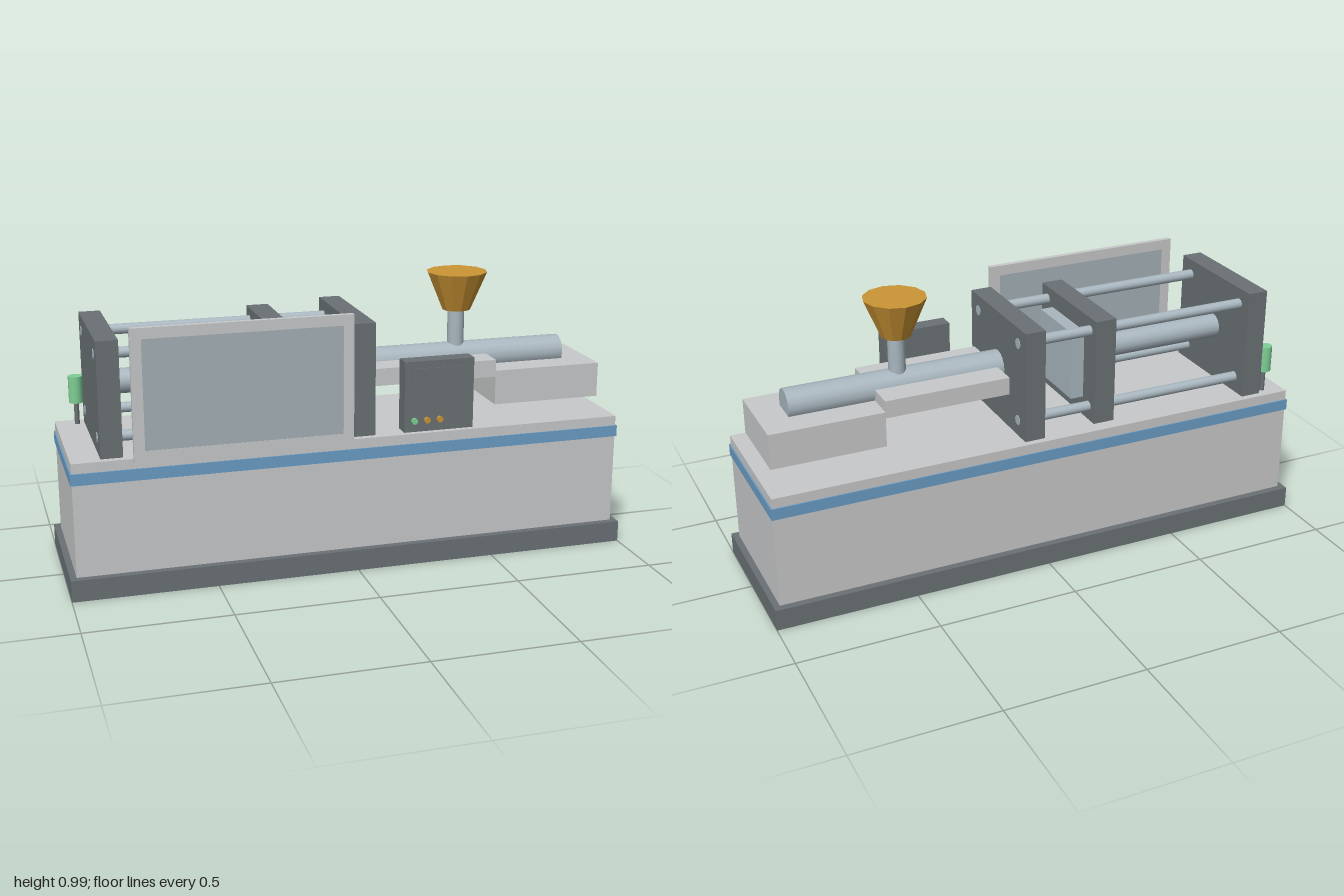
import * as THREE from 'three';

const mat = (name, color) => {
  const m = new THREE.MeshStandardMaterial({ color });
  m.name = name;
  return m;
};

export function createModel() {
  const light = mat('light grey paint', 0xc8c9ca);
  const dark = mat('dark grey paint', 0x6a7175);
  const blue = mat('blue stripe', 0x6a9cc4);
  const steel = mat('steel', 0xa9b7c0);
  const glass = mat('window glass', 0xa4b0b7);
  const orange = mat('orange', 0xcb9535);
  const green = mat('green', 0x7fd095);

  const model = new THREE.Group();
  model.name = 'injectionMouldingMachine';
  const CZ = -0.0225; // centre line of the machine in z
  const CY = 0.677; // height of the clamp and barrel axis

  // Box given by its lower and upper limits on each axis
  const box = (name, m, [x0, x1], [y0, y1], [z0, z1]) => {
    const mesh = new THREE.Mesh(new THREE.BoxGeometry(x1 - x0, y1 - y0, z1 - z0), m);
    mesh.position.set((x0 + x1) / 2, (y0 + y1) / 2, (z0 + z1) / 2);
    mesh.name = name;
    model.add(mesh);
    return mesh;
  };
  const around = (half) => [CZ - half, CZ + half];

  // Round bar lying along x
  const barX = (name, m, r, x0, x1, y, z) => {
    const mesh = new THREE.Mesh(new THREE.CylinderGeometry(r, r, x1 - x0, 16), m);
    mesh.rotation.z = -Math.PI / 2;
    mesh.position.set((x0 + x1) / 2, y, z);
    mesh.name = name;
    model.add(mesh);
  };

  // Upright round part
  const post = (name, m, rTop, rBottom, y0, y1, x, z, sides = 16) => {
    const mesh = new THREE.Mesh(new THREE.CylinderGeometry(rTop, rBottom, y1 - y0, sides), m);
    mesh.position.set(x, (y0 + y1) / 2, z);
    mesh.name = name;
    model.add(mesh);
    return mesh;
  };

  // Machine bed
  box('basePlinth', dark, [-1, 1], [0, 0.076], around(0.276));
  box('bedBody', light, [-0.978, 0.978], [0.076, 0.476], around(0.25));
  box('bedStripe', blue, [-0.983, 0.983], [0.401, 0.441], around(0.255));

  // Clamp unit: platens, tie bars, ram and mould
  box('rearPlaten', dark, [-0.877, -0.802], [0.476, 0.876], around(0.226));
  box('movingPlaten', dark, [-0.278, -0.2], [0.482, 0.866], around(0.21));
  box('fixedPlaten', dark, [-0.002, 0.073], [0.476, 0.876], around(0.226));
  for (const sy of [-1, 1]) {
    for (const sz of [-1, 1]) {
      barX('tieBar', steel, 0.0185, -0.879, 0.075, CY + sy * 0.143, CZ + sz * 0.166);
    }
  }
  barX('clampRam', steel, 0.044, -0.81, -0.27, CY, CZ - 0.004);
  box('mouldHalf', steel, [-0.2, -0.152], [0.552, 0.802], around(0.124));

  // Injection unit: carriage, barrel and hopper
  box('carriageSlide', light, [0.097, 0.547], [0.63, 0.692], around(0.15));
  box('carriageHousing', light, [0.547, 0.947], [0.527, 0.652], around(0.15));
  barX('barrel', steel, 0.055, 0.07, 0.847, CY, CZ);
  post('hopperNeck', steel, 0.03, 0.03, 0.7, 0.855, 0.447, CZ);
  const hopper = post('hopper', orange, 0.109, 0.051, 0.853, 0.991, 0.447, CZ, 12);
  hopper.geometry = hopper.geometry.toNonIndexed();
  hopper.geometry.computeVertexNormals();

  // Sliding safety guard with framed window
  const guardZ = [0.258, 0.277];
  box('guardFrameTop', light, [-0.776, -0.026], [0.891, 0.928], guardZ);
  box('guardFrameBottom', light, [-0.776, -0.026], [0.476, 0.515], guardZ);
  box('guardFrameRight', light, [-0.776, -0.739], [0.515, 0.891], guardZ);
  box('guardFrameLeft', light, [-0.063, -0.026], [0.515, 0.891], guardZ);
  box('guardWindow', glass, [-0.739, -0.063], [0.515, 0.891], [0.259, 0.276]);

  // Control cabinet with panel and buttons
  box('controlCabinet', dark, [0.15, 0.4], [0.503, 0.752], [0.23, 0.288]);
  box('controlPanel', dark, [0.175, 0.375], [0.627, 0.727], [0.288, 0.291]);
  [green, orange, orange].forEach((m, i) => {
    const button = post('button', m, 0.011, 0.011, 0, 0.013, 0.185 + i * 0.046, 0, 12);
    button.rotation.x = Math.PI / 2;
    button.position.y = 0.543;
    button.position.z = 0.2925;
  });

  // Signal lamp on a short pole
  post('lampPole', dark, 0.009, 0.009, 0.476, 0.56, -0.903, -0.226, 10);
  post('signalLamp', green, 0.0255, 0.0255, 0.556, 0.652, -0.903, -0.226, 14);

  return model;
}
